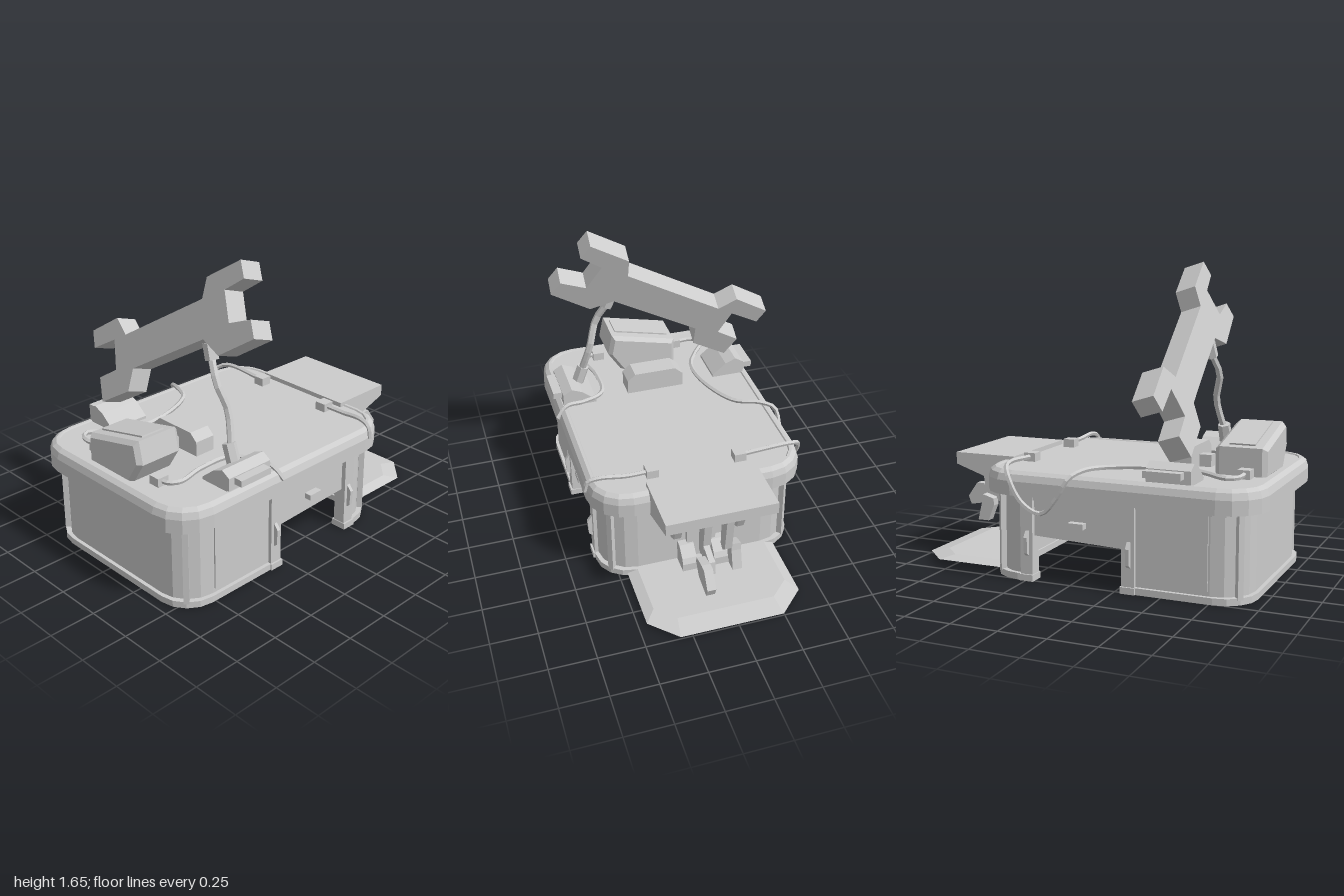
import * as THREE from 'three';

const CX = -0.235, CZ = 0.04; // centre of the counter

export function createModel() {
  const model = new THREE.Group();
  const grey = new THREE.MeshStandardMaterial({ color: 0xcccccc, flatShading: true });
  grey.name = 'plainGrey';

  const add = (name, geo) => {
    const m = new THREE.Mesh(geo, grey);
    m.name = name;
    model.add(m);
    return m;
  };
  const box = (name, x0, x1, y0, y1, z0, z1) =>
    add(name, new THREE.BoxGeometry(x1 - x0, y1 - y0, z1 - z0)
      .translate((x0 + x1) / 2, (y0 + y1) / 2, (z0 + z1) / 2));
  const extrude = (pts, depth, opts = {}) => new THREE.ExtrudeGeometry(
    new THREE.Shape(pts.map(p => new THREE.Vector2(...p))),
    { depth, bevelEnabled: false, ...opts });
  const V = (x, y, z) => new THREE.Vector3(x, y, z);

  // profile in (x, y), extruded along z
  const alongZ = (name, pts, z0, z1) => add(name, extrude(pts, z1 - z0).translate(0, 0, z0));
  // profile in (z, y), extruded along x
  const alongX = (name, pts, x0, x1, opts) => add(name, extrude(pts, x1 - x0, opts).applyMatrix4(
    new THREE.Matrix4().makeBasis(V(0, 0, 1), V(0, 1, 0), V(-1, 0, 0)).setPosition(x1, 0, 0)));

  // quarter arcs of a rounded rectangle, as (x, z) offsets
  const corner = (hx, hz, r, q, n = 4) => Array.from({ length: n + 1 }, (_, i) => {
    const a = (q + i / n) * Math.PI / 2;
    const sx = q === 0 || q === 3 ? 1 : -1, sz = q < 2 ? 1 : -1;
    return [sx * (hx - r) + r * Math.cos(a), sz * (hz - r) + r * Math.sin(a)];
  });

  // stacked rounded rectangles, each [y, inset]
  const loft = (sections, hx, hz, r) => {
    const loops = sections.map(([y, s]) => [0, 1, 2, 3]
      .flatMap(q => corner(hx - s, hz - s, r - s, q))
      .map(([x, z]) => [CX + x, y, CZ + z]));
    const pos = [], n = loops[0].length;
    for (let i = 0; i < n; i++) {
      const j = (i + 1) % n;
      for (let k = 0; k + 1 < loops.length; k++) {
        const a = loops[k][i], b = loops[k + 1][i], c = loops[k + 1][j], d = loops[k][j];
        pos.push(...a, ...b, ...c, ...a, ...c, ...d);
      }
      const lo = loops[0], hi = loops[loops.length - 1];
      pos.push(CX, lo[0][1], CZ, ...lo[i], ...lo[j]);
      pos.push(CX, hi[0][1], CZ, ...hi[j], ...hi[i]);
    }
    const g = new THREE.BufferGeometry();
    g.setAttribute('position', new THREE.Float32BufferAttribute(pos, 3));
    g.computeVertexNormals();
    return g;
  };

  // counter top with rounded lip
  add('counterTop', loft([[0.455, 0], [0.53, 0], [0.565, 0.012], [0.582, 0.035], [0.582, 0.05], [0.575, 0.055]],
    0.765, 0.59, 0.21));

  // hollow U-shaped wall, one per end; cut is the x where it stops
  const uWall = (name, side, cut, hx, hz, t, y0, y1) => {
    const path = (x, z, r) => [[cut - CX, z], ...corner(x, z, r, 0).reverse().map(p => [side * p[0], p[1]]),
      ...corner(x, z, r, 3).reverse().map(p => [side * p[0], p[1]]), [cut - CX, -z]];
    const pts = [...path(hx, hz, 0.18), ...path(hx - t, hz - t, 0.18 - t).reverse()];
    add(name, extrude(pts, y1 - y0).rotateX(-Math.PI / 2).translate(CX, y0, CZ));
  };
  for (const [side, cut] of [[-1, -0.29], [1, 0.21]]) {
    uWall('baseWall', side, cut, 0.695, 0.53, 0.05, 0, 0.456);
    uWall('baseFlange', side, cut, 0.715, 0.55, 0.08, 0, 0.035);
    uWall('wallTopTrim', side, cut, 0.705, 0.538, 0.05, 0.435, 0.457);
    for (const f of [-1, 1]) {
      const px = CX + side * 0.652, pz = CZ + f * 0.487;
      const post = add('cornerPost', new THREE.BoxGeometry(0.03, 0.43, 0.03).rotateY(Math.PI / 4));
      post.position.set(px, 0.24, pz);
    }
  }

  // front and back details, mirrored about the counter centre
  for (const f of [-1, 1]) {
    const zBox = (name, x0, x1, y0, y1, d0, d1) =>
      box(name, x0, x1, y0, y1, Math.min(CZ + f * d0, CZ + f * d1), Math.max(CZ + f * d0, CZ + f * d1));
    const zs = [CZ + f * 0.48, CZ + f * 0.525].sort((a, b) => a - b);
    alongZ('apron', [[-0.3, 0.22], [0.22, 0.24], [0.22, 0.456], [-0.3, 0.456]], ...zs);
    zBox('apronTrim', -0.36, 0.28, 0.43, 0.456, 0.52, 0.545);
    zBox('apronLatch', -0.085, 0, 0.305, 0.335, 0.52, 0.565);
    zBox('sidePanel', -0.74, -0.445, 0.06, 0.435, 0.53, 0.538);
    for (const [a, b, h] of [[-0.36, -0.29, -0.33], [0.21, 0.28, 0.24]]) {
      zBox('doorPost', a, b, 0, 0.456, 0.48, 0.55);
      zBox('postFoot', a - 0.005, b + 0.005, 0, 0.035, 0.47, 0.56);
      alongX('doorHandle', [[0.545, 0.13], [0.57, 0.15], [0.575, 0.235], [0.545, 0.275]]
        .map(([d, y]) => [CZ + f * d, y]), h - 0.01, h + 0.01);
    }
    // raised mounts near the edges
    alongX('edgeMount', [[0.36, 0.57], [0.36, 0.59], [0.44, 0.655], [0.5, 0.68], [0.55, 0.65], [0.55, 0.57]]
      .map(([d, y]) => [CZ + f * d, y]), -0.655, f > 0 ? -0.375 : -0.42);
    zBox('mountPlate', -0.62, -0.42, 0.61, 0.645, 0.54, 0.6);
    // cable clips
    for (const x of [-0.835, 0.368]) zBox('cableClip', x - 0.033, x + 0.033, 0.57, 0.622, 0.21, 0.275);
  }

  // block beside the register
  alongX('centreBlock', [[0.205, 0.57], [0.205, 0.655], [0.16, 0.695], [-0.08, 0.695], [-0.125, 0.655], [-0.125, 0.57]],
    -0.52, -0.4);
  box('centreBlockStep', -0.585, -0.51, 0.57, 0.64, 0.005, 0.07);

  // slanted register with a screen plate
  alongX('register', [[0.21, 0.785], [-0.135, 0.705], [-0.135, 0.58], [0.16, 0.58], [0.23, 0.69]], -0.905, -0.68,
    { bevelEnabled: true, bevelSegments: 1, bevelSize: 0.02, bevelThickness: 0.025 });
  const screen = add('registerScreen', new THREE.BoxGeometry(0.135, 0.009, 0.33));
  screen.position.set(-0.793, 0.769, 0.035);
  screen.rotation.x = -Math.atan2(0.08, 0.345);

  // giant leaning wrench, profile in (z, y)
  const wrench = [[0.41, 1.61], [0.2, 1.48], [0.2, 1.375], [-0.34, 1.05], [-0.44, 1.11], [-0.63, 0.99],
    [-0.585, 0.91], [-0.425, 1.0], [-0.36, 0.86], [-0.485, 0.78], [-0.42, 0.67], [-0.22, 0.79], [-0.22, 0.91],
    [0.27, 1.2], [0.4, 1.16], [0.615, 1.3], [0.565, 1.375], [0.425, 1.32], [0.345, 1.455], [0.46, 1.535]];
  add('wrench', extrude(wrench, 0.12).applyMatrix4(new THREE.Matrix4()
    .makeBasis(V(-0.078, 0, 1), V(0.316, 1, 0), V(-0.95, 0.3, -0.074)).setPosition(-0.757, 0, 0)));

  // straight six-sided rod between two points
  const rod = (name, a, b, r) => {
    const d = b.clone().sub(a);
    const m = add(name, new THREE.CylinderGeometry(r, r, d.length(), 6));
    m.position.copy(a).addScaledVector(d, 0.5);
    m.quaternion.setFromUnitVectors(V(0, 1, 0), d.normalize());
  };
  const pole = [V(-0.515, 0.69, 0.46), V(-0.48, 0.89, 0.4), V(-0.512, 1.03, 0.355), V(-0.48, 1.16, 0.28)];
  add('pole', new THREE.TubeGeometry(new THREE.CatmullRomCurve3(pole), 9, 0.02, 6));
  rod('poleFoot', V(-0.515, 0.63, 0.48), V(-0.513, 0.74, 0.44), 0.036);
  rod('poleCollar', V(-0.485, 1.13, 0.295), V(-0.475, 1.21, 0.265), 0.036);

  // cables lying on the counter and falling over its edge
  const cable = pts => add('cable', new THREE.TubeGeometry(
    new THREE.CatmullRomCurve3(pts.map(p => V(...p))), pts.length * 4, 0.013, 5));
  cable([[-0.835, 0.6, -0.22], [-0.835, 0.6, -0.32], [-0.79, 0.6, -0.365], [-0.66, 0.6, -0.28], [-0.55, 0.6, -0.225],
    [-0.35, 0.6, -0.24], [-0.12, 0.6, -0.35], [-0.06, 0.6, -0.48], [-0.02, 0.57, -0.56], [0.04, 0.47, -0.572],
    [0.13, 0.38, -0.572], [0.24, 0.43, -0.572], [0.32, 0.56, -0.565], [0.36, 0.605, -0.5], [0.37, 0.6, -0.22]]);
  cable([[-0.835, 0.6, 0.29], [-0.83, 0.6, 0.34], [-0.78, 0.6, 0.375], [-0.62, 0.6, 0.345], [-0.42, 0.6, 0.36],
    [-0.36, 0.6, 0.48], [-0.345, 0.6, 0.58], [-0.325, 0.54, 0.64]]);
  cable([[0.368, 0.6, 0.29], [0.37, 0.6, 0.42], [0.36, 0.61, 0.56], [0.35, 0.59, 0.62], [0.345, 0.53, 0.64]]);

  // side shelf and the fittings under it
  alongZ('sideShelf', [[0.45, 0.6], [0.81, 0.6], [0.81, 0.535], [0.49, 0.43], [0.45, 0.43]], -0.263, 0.335);
  for (const z of [-0.15, 0.197]) {
    alongZ('shelfBracket', [[0.45, 0.5], [0.68, 0.5], [0.65, 0.4], [0.615, 0.32], [0.56, 0.29], [0.45, 0.29]], z, z + 0.038);
  }
  const arm = [[0.7, 0.53], [0.785, 0.53], [0.755, 0.31], [0.72, 0.28], [0.69, 0.3]];
  for (const z of [-0.037, 0.083]) alongZ('hangingArm', arm, z, z + 0.04);
  alongZ('lowerArm', [[0.68, 0.31], [0.75, 0.33], [0.755, 0.29], [0.782, 0.18], [0.715, 0.18], [0.68, 0.27]], -0.087, -0.035);
  alongZ('raisedLink', [[0.7, 0.33], [0.74, 0.38], [0.86, 0.34], [0.87, 0.27], [0.78, 0.25]], 0.09, 0.122);
  alongZ('raisedArm', [[0.79, 0.33], [0.87, 0.345], [0.91, 0.345], [0.97, 0.26], [0.95, 0.212], [0.83, 0.235], [0.78, 0.3]], 0.12, 0.167);
  for (const z of [-0.087, 0.09]) {
    alongZ('footBlock', [[0.44, 0.03], [0.44, 0.16], [0.5, 0.16], [0.555, 0.11], [0.57, 0.08], [0.57, 0.03]], z, z + 0.08);
  }
  for (const z of [-0.037, 0.083]) box('wallRail', 0.45, 0.49, 0.03, 0.45, z, z + 0.04);

  // floor plate: flat inner part, sloping rim
  const plate = (x, za, zb, c, y) => [[0.44, y, za], [x - c, y, za], [x, y, za + c], [x, y, zb - c], [x - c, y, zb], [0.44, y, zb]];
  const upper = plate(0.89, -0.33, 0.4, 0.1, 0.035), lower = plate(1, -0.385, 0.455, 0.14, 0.012);
  const tris = [];
  for (let i = 0; i < 6; i++) {
    const j = (i + 1) % 6;
    tris.push(...lower[i], ...upper[i], ...upper[j], ...lower[i], ...upper[j], ...lower[j]);
    if (i > 0 && i < 5) tris.push(...upper[0], ...upper[j], ...upper[i], ...lower[0], ...lower[i], ...lower[j]);
  }
  const plateGeo = new THREE.BufferGeometry();
  plateGeo.setAttribute('position', new THREE.Float32BufferAttribute(tris, 3));
  plateGeo.computeVertexNormals();
  add('floorPlate', plateGeo);

  return model;
}
